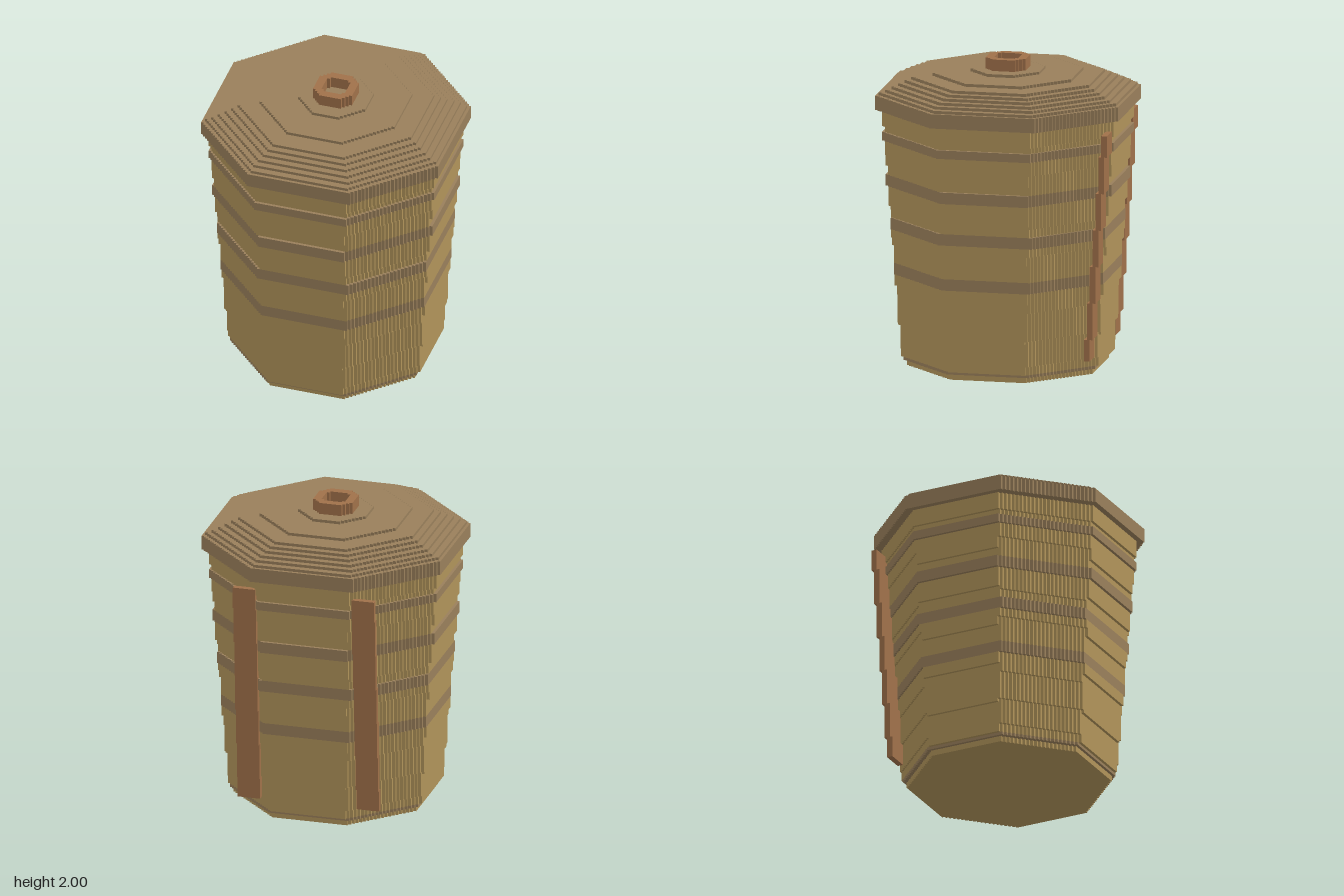
import * as THREE from 'three';

const V = 2 / 107; // size of one block step

const tan = new THREE.MeshStandardMaterial({ color: 0xb0935a });
tan.name = 'tan wicker';
const trim = new THREE.MeshStandardMaterial({ color: 0x997f5b });
trim.name = 'brown trim';
const leather = new THREE.MeshStandardMaterial({ color: 0xa0714a });
leather.name = 'leather';

// Octagon outline: half width a, with n single-block steps on each diagonal
function outline(a, n, Type = THREE.Shape) {
  const quarter = [[a, a - n]];
  for (let i = 0; i < n; i++) {
    quarter.push([a - i - 1, a - n + i], [a - i - 1, a - n + i + 1]);
  }
  const points = [];
  for (let q = 0; q < 4; q++) {
    const c = [1, 0, -1, 0][q], s = [0, 1, 0, -1][q];
    for (const [x, y] of quarter) points.push(new THREE.Vector2((x * c - y * s) * V, (x * s + y * c) * V));
  }
  return new Type(points);
}

// Stepped octagonal slab from block layer y0 up to y1
function slab(name, shape, y0, y1, material) {
  const geometry = new THREE.ExtrudeGeometry(shape, { depth: (y1 - y0) * V, bevelEnabled: false });
  geometry.rotateX(-Math.PI / 2);
  geometry.translate(0, y0 * V, 0);
  const mesh = new THREE.Mesh(geometry, material);
  mesh.name = name;
  return mesh;
}

// R limits the straight sides, D limits the diagonal sides
const octagon = (R, D) => outline(R + 0.5, 2 * R - D);

function createBody() {
  const body = new THREE.Group();
  body.name = 'body';
  body.add(slab('base', octagon(32, 45), 0, 2, tan));
  body.add(slab('baseTrim', octagon(33, 47), 2, 3, trim));

  // Size of the flaring wall at each layer, with slightly wider hoops
  const hoops = [[32, 36], [48, 52], [63, 67], [79, 82]];
  const layer = (k) => {
    const hoop = hoops.find(([a, b]) => k >= a && k < b);
    const y = (hoop ? (hoop[0] + hoop[1]) / 2 : k + 0.5) * V;
    const r = 35 + (y - 0.27) / 0.26 + (hoop ? 0.42 : 0);
    return { R: Math.floor(r), D: Math.floor(r * Math.SQRT2 - 0.6), hoop: !!hoop };
  };

  // Merge equal layers into one slab
  let start = 3;
  for (let k = 4; k <= 90; k++) {
    const a = layer(start), b = layer(k);
    if (k < 90 && a.R === b.R && a.D === b.D && a.hoop === b.hoop) continue;
    body.add(slab(a.hoop ? 'hoop' : 'wall', octagon(a.R, a.D), start, k, a.hoop ? trim : tan));
    start = k;
  }
  return body;
}

function createLid() {
  const lid = new THREE.Group();
  lid.name = 'lid';
  lid.add(slab('lidRim', octagon(42, 60), 90, 95, trim));
  // Stepped top, one layer per half width
  [41.5, 39.3, 37.3, 35.2, 33.2, 31.1, 24.2, 12].forEach((a, i) => {
    lid.add(slab('lidStep', outline(a, Math.round(a * 0.57)), 95 + i, 96 + i, trim));
  });
  // Hollow knob
  const ring = outline(7, 3);
  ring.holes.push(outline(4.2, 1, THREE.Path));
  lid.add(slab('knob', ring, 103, 107, leather));
  return lid;
}

// Strap that follows the flare of the back in short steps
function createStrap(side) {
  const strap = new THREE.Group();
  strap.name = side > 0 ? 'leftStrap' : 'rightStrap';
  const levels = [0.13, 0.27, 0.51, 0.75, 0.99, 1.23, 1.47, 1.61];
  for (let i = 0; i < levels.length - 1; i++) {
    const height = levels[i + 1] - levels[i];
    const piece = new THREE.Mesh(new THREE.BoxGeometry(0.15, height, 2 * V), leather);
    piece.position.set(side * 0.395, levels[i] + height / 2, -(33 + i) * V);
    piece.name = 'strapPiece';
    strap.add(piece);
  }
  return strap;
}

export function createModel() {
  const model = new THREE.Group();
  model.name = 'basket';
  model.add(createBody(), createLid(), createStrap(1), createStrap(-1));
  return model;
}
